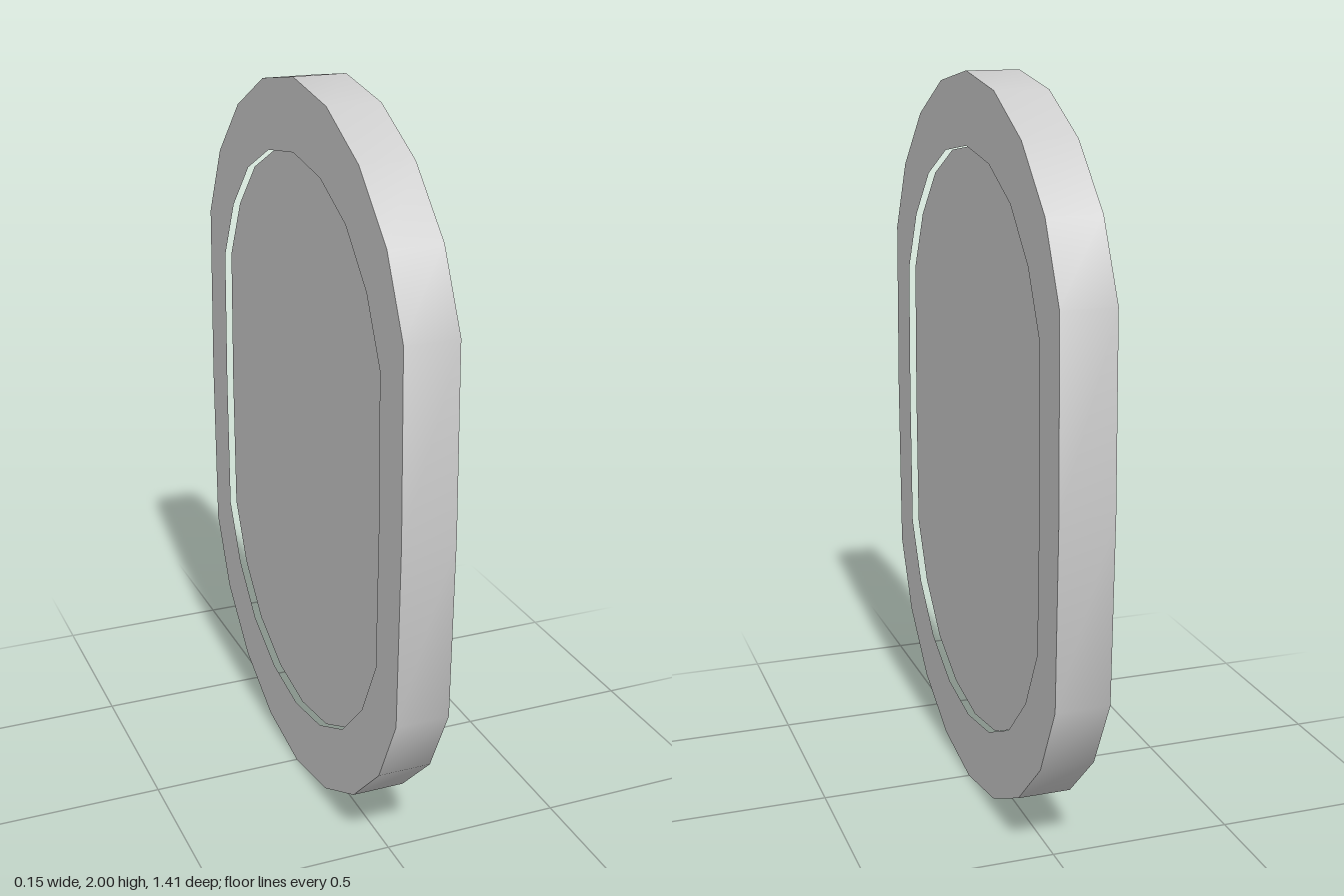
import * as THREE from 'three';
import { toCreasedNormals } from 'three/addons/utils/BufferGeometryUtils.js';

// Quarter outlines as [z, height above centre], from the top down to the side
const OUTER = [[0, 1], [0.223, 0.963], [0.427, 0.86], [0.592, 0.7], [0.692, 0.5], [0.703, 0]];
const INNER = [[0, 0.808], [0.183, 0.78], [0.348, 0.7], [0.478, 0.567], [0.563, 0.398], [0.57, 0]];
const THICKNESS = 0.146;
const RECESS = 0.019;

// Mirror a quarter outline into a closed ring of points
function ring(quarter) {
  const half = [...quarter, ...quarter.slice(0, -1).reverse().map(([z, y]) => [z, -y])];
  const other = half.slice(1, -1).reverse().map(([z, y]) => [-z, y]);
  return [...half, ...other].map(([z, y]) => new THREE.Vector2(z, y + 1));
}

// Extrude a shape drawn in z and y, centred across x
function slab(name, shape, depth, material) {
  const geometry = new THREE.ExtrudeGeometry(shape, { depth, bevelEnabled: false });
  geometry.translate(0, 0, -depth / 2);
  geometry.rotateY(-Math.PI / 2);
  const mesh = new THREE.Mesh(toCreasedNormals(geometry, Math.PI / 4.5), material);
  mesh.name = name;
  return mesh;
}

export function createModel() {
  const group = new THREE.Group();
  group.name = 'ovalPanel';
  const material = new THREE.MeshStandardMaterial({ color: 0xcccccc });

  // Outer rim
  const rim = new THREE.Shape(ring(OUTER));
  rim.holes.push(new THREE.Path(ring(INNER)));
  group.add(slab('rim', rim, THICKNESS, material));

  // Centre panel, recessed on both faces
  group.add(slab('centrePanel', new THREE.Shape(ring(INNER)), THICKNESS - 2 * RECESS, material));

  return group;
}
